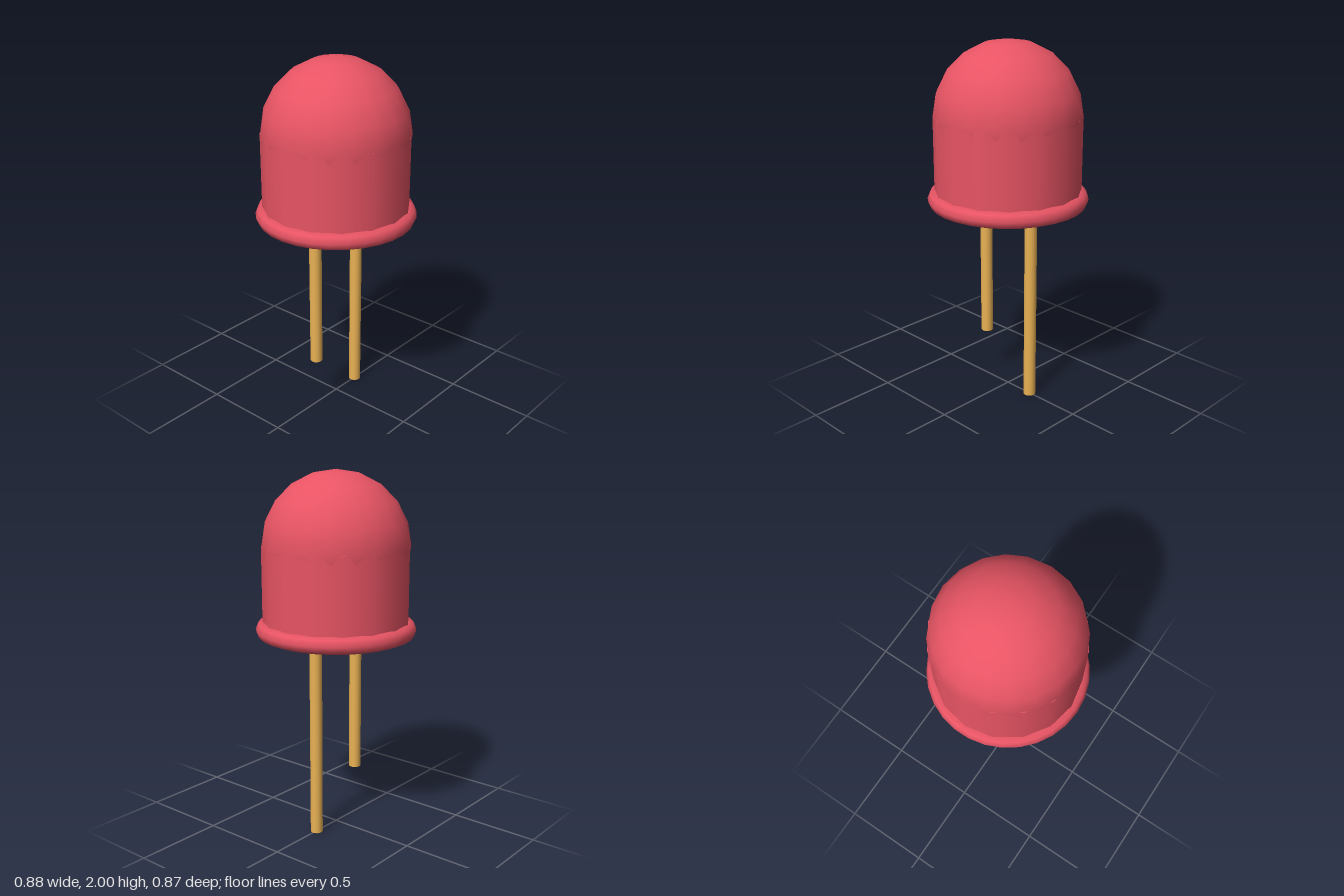
import * as THREE from 'three';

const red = new THREE.MeshStandardMaterial({ color: 0xe85464 });
const gold = new THREE.MeshStandardMaterial({ color: 0xeab254 });

function part(name, geometry, material, x, y) {
  const mesh = new THREE.Mesh(geometry, material);
  mesh.name = name;
  mesh.position.set(x, y, 0);
  return mesh;
}

// Upright cylinder between two heights
function post(name, radius, bottom, top, sides, material, x = 0) {
  const geometry = new THREE.CylinderGeometry(radius, radius, top - bottom, sides);
  return part(name, geometry, material, x, (bottom + top) / 2);
}

export function createModel() {
  const model = new THREE.Group();
  model.name = 'indicatorLamp';

  // Lens: a coarse dome whose corners poke slightly through the body
  model.add(part('dome', new THREE.SphereGeometry(0.4, 20, 10), red, 0, 1.6));
  model.add(post('body', 0.4, 1.15, 1.6, 16, red));

  // Rounded rim around the base of the body
  const rim = new THREE.TorusGeometry(0.39, 0.048, 8, 30).rotateX(Math.PI / 2);
  model.add(part('rim', rim, red, 0, 1.147));

  // Wire legs, the left one longer
  model.add(post('longLeg', 0.034, 0, 1.18, 16, gold, 0.172));
  model.add(post('shortLeg', 0.034, 0.29, 1.18, 16, gold, -0.172));

  return model;
}
